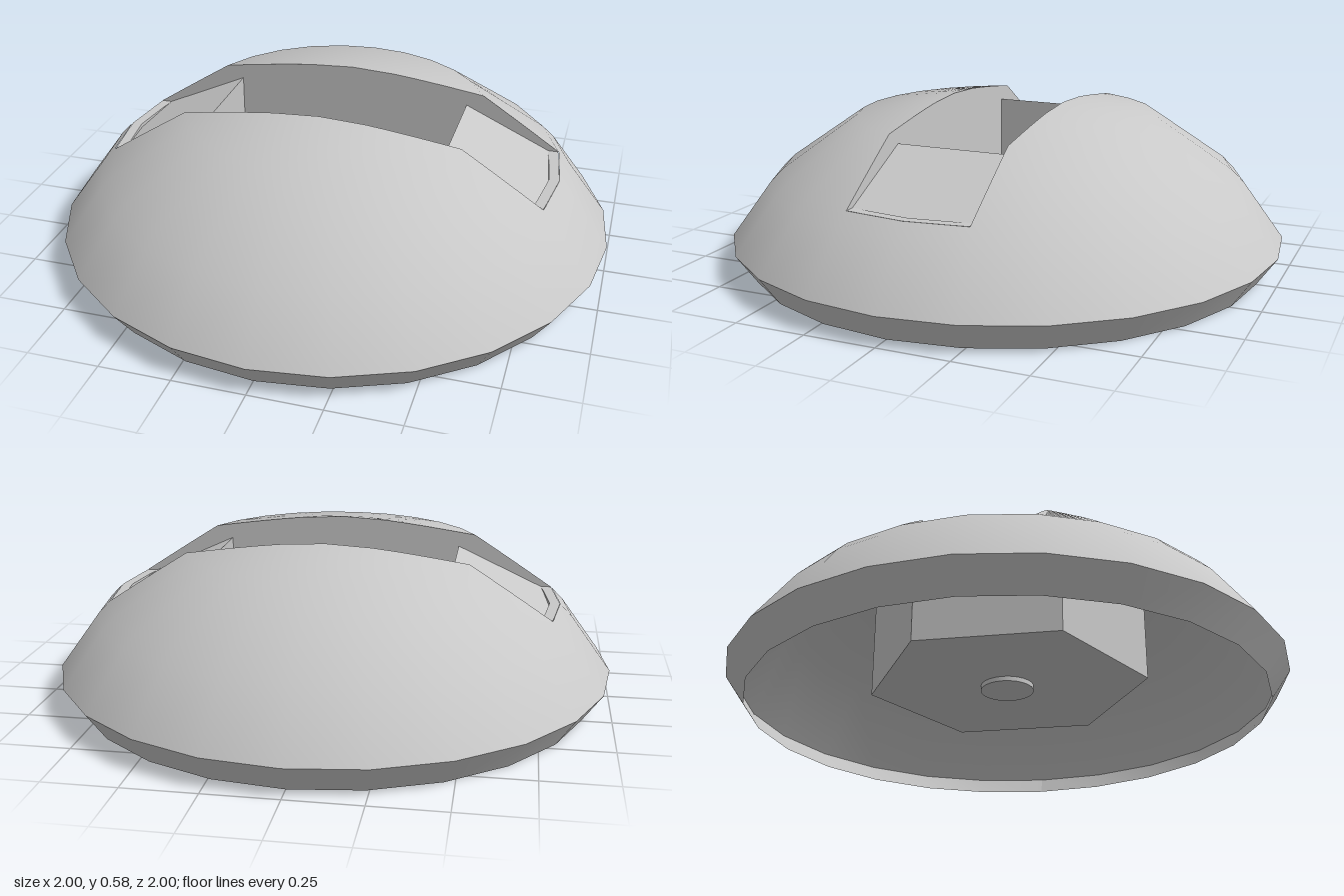
import * as THREE from 'three';

const W = 0.215;      // half width of the slot
const FACET = Math.PI / 12;

// Ring radius of a 24-sided outline at any angle
const facetRadius = (r, a) => {
  const m = ((a % FACET) + FACET) % FACET;
  return r * Math.cos(FACET / 2) / Math.cos(m - FACET / 2);
};

// Subdivide a profile of [radius, height] points
function refine(points, n) {
  const out = [];
  points.forEach(([r, y], i) => {
    if (!i) return out.push([r, y]);
    const [r0, y0] = points[i - 1];
    for (let k = 1; k <= n; k++) out.push([r0 + (r - r0) * k / n, y0 + (y - y0) * k / n]);
  });
  return out;
}

// Column angles of one ring: a full 24-gon, or the same corners squeezed between the slot edges
function ringAngles(r, slotted, base) {
  if (!slotted) return Array.from({ length: 25 }, (_, j) => j * FACET);
  const start = Math.asin(Math.min(1, W / r));
  const angles = [base, Math.PI - base];
  for (let j = 2; j <= 10; j++) angles.splice(j - 1, 0, j * FACET);
  return angles.map((a) => start + (a - base) * (Math.PI - 2 * start) / (Math.PI - 2 * base));
}

// Surface of revolution; slotted = only the half in front of the slot edge
function surface(profile, { slotted = false, inward = false, rounded = true } = {}) {
  const pos = [], nor = [], idx = [], base = Math.asin(W / profile[0][0]);
  const cols = slotted ? 10 : 24;
  for (const [r, y] of profile) {
    for (const a of ringAngles(r, slotted, base)) {
      const x = r * Math.cos(a), z = r * Math.sin(a);
      pos.push(x, y, z);
      const n = new THREE.Vector3(x, y + 0.65, z).normalize().multiplyScalar(inward ? -1 : 1);
      nor.push(n.x, n.y, n.z);
    }
  }
  for (let i = 0; i < profile.length - 1; i++) {
    for (let j = 0; j < cols; j++) {
      const a = i * (cols + 1) + j, b = a + cols + 1;
      if (inward) idx.push(a, a + 1, b, b, a + 1, b + 1);
      else idx.push(a, b, a + 1, b, b + 1, a + 1);
    }
  }
  const g = new THREE.BufferGeometry();
  g.setAttribute('position', new THREE.Float32BufferAttribute(pos, 3));
  g.setIndex(idx);
  if (rounded) g.setAttribute('normal', new THREE.Float32BufferAttribute(nor, 3));
  else g.computeVertexNormals();
  return g;
}

const shapeOf = (pts) => new THREE.Shape(pts.map(([x, y]) => new THREE.Vector2(x, y)));

// Flat outline raised between two heights
const slab = (shape, y0, y1) =>
  new THREE.ExtrudeGeometry(shape, { depth: y1 - y0, bevelEnabled: false })
    .rotateX(-Math.PI / 2).translate(0, y0, 0);

export function createModel() {
  const group = new THREE.Group();
  const grey = new THREE.MeshStandardMaterial({ color: 0xc8c8c8 });
  grey.name = 'light grey';
  const greyThin = new THREE.MeshStandardMaterial({ color: 0xc8c8c8, side: THREE.DoubleSide });
  greyThin.name = 'light grey thin';
  const add = (name, geometry, material = grey) => {
    const mesh = new THREE.Mesh(geometry, material);
    mesh.name = name;
    group.add(mesh);
    return mesh;
  };

  // Shell: bevelled rim, lower band, and two upper halves beside the slot
  const outerTop = refine([[0.812, 0.342], [0.54, 0.53], [W, 0.583]], 6);
  const innerTop = refine([[0.78, 0.31], [0.51, 0.48], [W, 0.535]], 6);
  add('rimBevel', surface([[0.93, 0], [1, 0.1]], { rounded: false }));
  add('rimInside', surface([[0.93, 0], [0.955, 0.06]], { inward: true, rounded: false }));
  add('domeBand', surface([[1, 0.1], [0.856, 0.297], [0.812, 0.342]]));
  add('domeBandInside', surface([[0.955, 0.06], [0.78, 0.31]], { inward: true }));
  for (const [side, turn] of [['front', 0], ['back', Math.PI]]) {
    add(side + 'Dome', surface(outerTop, { slotted: true })).rotation.y = turn;
    add(side + 'DomeInside', surface(innerTop, { slotted: true, inward: true })).rotation.y = turn;
  }

  // Slot side walls following the dome outline
  const edge = outerTop.map(([r, y]) => [Math.sqrt(Math.max(0, r * r - W * W)), y]);
  const wall = shapeOf([
    [-0.755, 0.31], [-0.435, 0.34], [0.435, 0.34], [0.755, 0.31],
    ...edge, ...edge.slice(0, -1).reverse().map(([x, y]) => [-x, y]),
  ]);
  for (const s of [-1, 1]) {
    add('slotWall', new THREE.ShapeGeometry(wall), greyThin).position.z = s * W;
  }

  // Wedge ramps and bent end lips, mirrored by a half turn
  const ramp = shapeOf([[0.435, 0.34], [0.765, 0.308], [0.775, 0.328], [0.435, 0.485]]);
  const arc = (r) => Array.from({ length: 9 }, (_, k) => {
    const a = Math.asin(W / r) * (k / 4 - 1), q = facetRadius(r, a);
    return [q * Math.cos(a), q * Math.sin(a)];
  });
  const lip = shapeOf([...arc(0.811), ...arc(0.775).reverse()]);
  for (const turn of [0, Math.PI]) {
    const rampGeo = new THREE.ExtrudeGeometry(ramp, { depth: 2 * W, bevelEnabled: false });
    add('ramp', rampGeo.translate(0, 0, -W)).rotation.y = turn;
    add('slotLip', slab(lip, 0.318, 0.342)).rotation.y = turn;
  }

  // Hexagonal housing with a rectangular pocket, its floor and a small round boss
  const hexagon = () => shapeOf(Array.from({ length: 6 }, (_, i) => {
    const a = Math.PI / 6 + i * Math.PI / 3;
    return [0.506 * Math.cos(a), 0.506 * Math.sin(a)];
  }));
  const pocketed = hexagon();
  pocketed.holes.push(shapeOf([[-0.435, -W], [-0.435, W], [0.435, W], [0.435, -W]]));
  add('housing', slab(pocketed, 0.13, 0.475));
  add('housingFloor', slab(hexagon(), 0.105, 0.13));
  add('boss', new THREE.CylinderGeometry(0.096, 0.096, 0.02, 24)).position.y = 0.098;

  return group;
}
